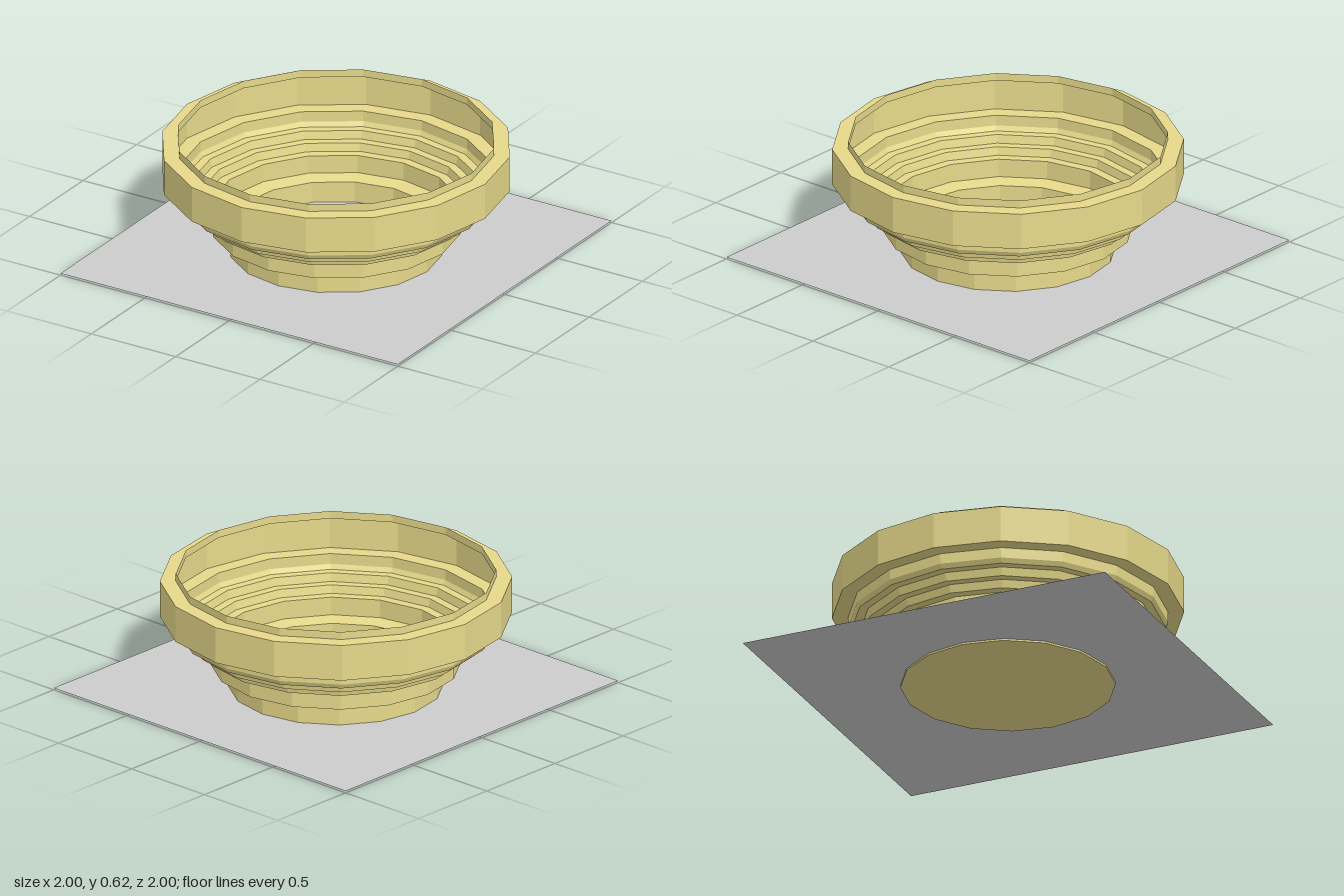
import * as THREE from 'three';

export function createModel() {
  const group = new THREE.Group();
  const grey = new THREE.MeshStandardMaterial({ color: 0xcccccc, side: THREE.DoubleSide });
  const khaki = new THREE.MeshStandardMaterial({ color: 0xe6d98a, flatShading: true, side: THREE.DoubleSide });

  const add = (name, geometry, material, x, y, z, parent = group) => {
    const mesh = new THREE.Mesh(geometry, material);
    mesh.name = name;
    mesh.position.set(x, y, z);
    parent.add(mesh);
    return mesh;
  };

  // Thin-walled stepped bowl: closed base, three narrow tiers, bulging band, rim
  const profile = [
    [0, 0], [0.54, 0], [0.54, 0.12],
    [0.63, 0.13], [0.63, 0.225],
    [0.68, 0.225], [0.69, 0.267],
    [0.735, 0.267], [0.745, 0.31],
    [0.79, 0.31], [0.803, 0.335], [0.803, 0.39],
    [0.883, 0.39], [0.883, 0.58],
    [0.803, 0.58], [0.803, 0.62],
  ].map(([r, y]) => new THREE.Vector2(r, y));
  add('steppedBowl', new THREE.LatheGeometry(profile, 16), khaki, 0, 0, 0);

  // Ground sheet, just above the underside of the bowl
  const sheet = add('groundSheet', new THREE.PlaneGeometry(2, 2), grey, 0, 0.01, 0);
  sheet.rotation.x = -Math.PI / 2;

  // Tiny boxy vehicle in the middle of the floor
  const vehicle = new THREE.Group();
  vehicle.name = 'tinyVehicle';
  vehicle.position.y = 0.01;
  group.add(vehicle);
  add('body', new THREE.BoxGeometry(0.022, 0.014, 0.088), grey, 0, 0.013, -0.002, vehicle);
  add('cabin', new THREE.BoxGeometry(0.018, 0.012, 0.04), grey, 0, 0.026, -0.006, vehicle);
  const wheel = new THREE.CylinderGeometry(0.007, 0.007, 0.004, 10).rotateZ(Math.PI / 2);
  for (const x of [-0.011, 0.011])
    for (const z of [-0.03, 0.026]) add('wheel', wheel, grey, x, 0.007, z, vehicle);

  return group;
}
